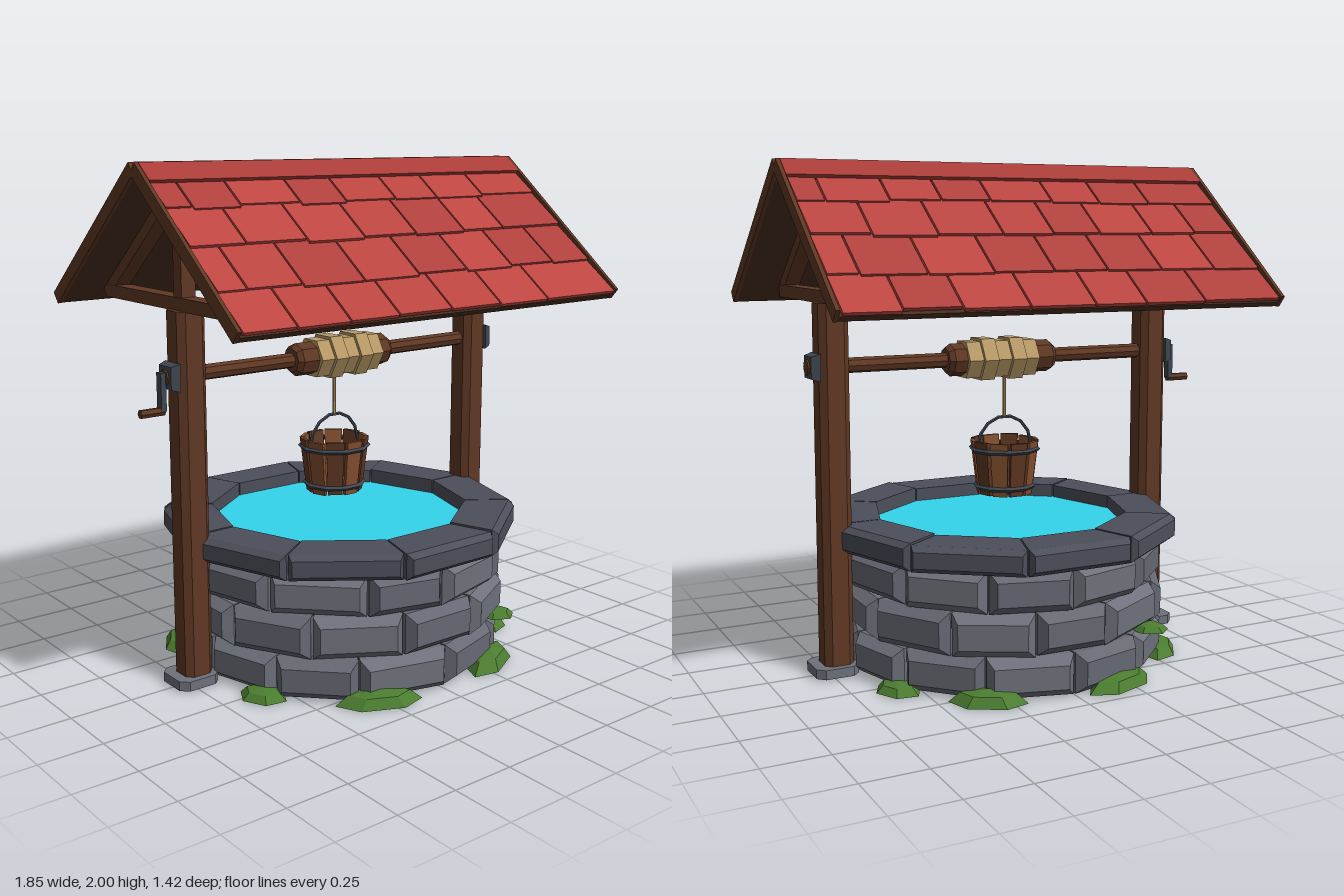
import * as THREE from 'three';

const mat = (color) => new THREE.MeshStandardMaterial({ color, flatShading: true });
const M = {
  stone: mat(0x6e717b), stoneB: mat(0x666973), rim: mat(0x4c4f5a), dark: mat(0x45484e),
  wood: mat(0x603824), woodB: mat(0x85502f), deck: mat(0x4a2f20), iron: mat(0x3f4650),
  rope: mat(0xb89a66), water: mat(0x33d4ec), moss: mat(0x4b7d30),
  tiles: [mat(0xb8443f), mat(0xae403c), mat(0xbc4641)], cap: mat(0xa83c38),
};

let seed = 7;
const rnd = (a, b) => {
  seed = (seed * 16807) % 2147483647;
  return a + (b - a) * (seed / 2147483647);
};

function add(parent, name, geo, material, x = 0, y = 0, z = 0) {
  const m = new THREE.Mesh(geo, material);
  m.name = name;
  m.position.set(x, y, z);
  parent.add(m);
  return m;
}

function group(parent, name) {
  const g = new THREE.Group();
  g.name = name;
  parent.add(g);
  return g;
}

// Wedge-shaped stone between two angles with a bevelled outer face
function stoneGeometry(a0, a1, r0, r1, y0, y1, b) {
  const pos = [], idx = [];
  for (const [r, inset] of [[r0, 0], [r1 - b, 0], [r1, b]]) {
    const d = inset / r;
    for (const [a, y] of [[a0 + d, y0 + inset], [a1 - d, y0 + inset], [a1 - d, y1 - inset], [a0 + d, y1 - inset]])
      pos.push(Math.cos(a) * r, y, Math.sin(a) * r);
  }
  for (let ring = 0; ring < 2; ring++)
    for (let j = 0; j < 4; j++) {
      const p = ring * 4 + j, p1 = ring * 4 + (j + 1) % 4;
      idx.push(p, p + 4, p1, p1, p + 4, p1 + 4);
    }
  idx.push(0, 1, 2, 0, 2, 3, 8, 11, 10, 8, 10, 9);
  const g = new THREE.BufferGeometry();
  g.setAttribute('position', new THREE.Float32BufferAttribute(pos, 3));
  g.setIndex(idx);
  g.computeVertexNormals();
  return g;
}

// Upright square bar with chamfered corners
function barGeometry(w, h, c) {
  const s = w / 2, k = s - c;
  const shape = new THREE.Shape([[s, -k], [s, k], [k, s], [-k, s], [-s, k], [-s, -k], [-k, -s], [k, -s]]
    .map(([x, y]) => new THREE.Vector2(x, y)));
  return new THREE.ExtrudeGeometry(shape, { depth: h, bevelEnabled: false }).rotateX(-Math.PI / 2);
}

const rodX = (r, len, sides) => new THREE.CylinderGeometry(r, r, len, sides).rotateZ(Math.PI / 2);

function buildWall(root) {
  const wall = group(root, 'stoneWall');
  const rows = [[0.005, 0.165], [0.168, 0.332], [0.338, 0.495]];
  rows.forEach(([y0, y1], row) => {
    const n = 12, step = Math.PI * 2 / n;
    const cuts = Array.from({ length: n }, (_, i) => (i + row * 0.5 + rnd(-0.1, 0.1)) * step);
    cuts.push(cuts[0] + Math.PI * 2);
    for (let i = 0; i < n; i++)
      add(wall, 'wallStone', stoneGeometry(cuts[i] + 0.005, cuts[i + 1] - 0.005, 0.56, rnd(0.66, 0.678),
        y0 + (row ? rnd(-0.006, 0.004) : 0), y1, 0.034), i % 2 ? M.stone : M.stoneB);
  });
  // Ten heavier coping stones
  for (let i = 0; i < 10; i++) {
    const a = i * Math.PI / 5;
    add(wall, 'rimStone', stoneGeometry(a + 0.005, a + Math.PI / 5 - 0.005, 0.525, rnd(0.715, 0.73),
      0.492, rnd(0.592, 0.6), 0.02), M.rim);
  }
  add(wall, 'innerCore', new THREE.CylinderGeometry(0.59, 0.59, 0.48, 24), M.dark, 0, 0.245, 0);
  add(root, 'water', new THREE.CylinderGeometry(0.55, 0.55, 0.05, 20), M.water, 0, 0.515, 0);
}

function buildMoss(root) {
  const moss = group(root, 'moss');
  // angle (0 = front, toward +x), half length, height, base y
  for (const [deg, len, h, y] of [[-25, 0.17, 0.055, 0], [28, 0.17, 0.06, 0], [66, 0.13, 0.05, 0], [-64, 0.1, 0.04, 0],
    [38, 0.07, 0.03, 0.16], [150, 0.15, 0.055, 0], [198, 0.17, 0.055, 0], [118, 0.1, 0.04, 0], [238, 0.14, 0.05, 0],
    [218, 0.07, 0.03, 0.16]]) {
    const a = deg * Math.PI / 180, r = 0.66;
    // Pointed leaf shape: flat underneath, crest against the wall
    const g = new THREE.SphereGeometry(1, 6, 4).scale(len, h, 0.08);
    const p = g.attributes.position;
    for (let i = 0; i < p.count; i++) p.setY(i, Math.max(0, p.getY(i)) + 0.003);
    const m = add(moss, 'mossPatch', g, M.moss, Math.sin(a) * r, y, Math.cos(a) * r);
    m.rotation.y = a;
  }
}

function buildFrame(root) {
  for (const s of [-1, 1]) {
    const side = group(root, s > 0 ? 'leftSupport' : 'rightSupport');
    add(side, 'post', barGeometry(0.12, 1.463, 0.025), M.wood, s * 0.72, 0, 0);
    add(side, 'postFoot', barGeometry(0.175, 0.038, 0.03), M.stone, s * 0.735, 0.006, 0);
    add(side, 'tieBeam', new THREE.BoxGeometry(0.07, 0.05, 1.06), M.wood, s * 0.72, 1.485, 0);
    add(side, 'kingPost', new THREE.BoxGeometry(0.06, 0.44, 0.055), M.wood, s * 0.72, 1.72, 0);
    const plate = new THREE.CylinderGeometry(0.06, 0.075, 0.035, 4).rotateY(Math.PI / 4).rotateZ(-s * Math.PI / 2);
    add(side, 'axlePlate', plate, M.iron, s * 0.795, 1.22, 0);
  }
}

function buildRoof(root) {
  const L = 0.82, pitch = Math.atan2(0.52, 0.635);
  // Tile rows measured down the slope: start, end, width of the first tile
  const rows = [[0.08, 0.235, 0.11], [0.215, 0.43, 0.23], [0.41, 0.64, 0.12], [0.62, 0.825, 0.22]];
  for (const s of [1, -1]) {
    const half = group(root, s > 0 ? 'frontRoof' : 'backRoof');
    half.rotation.y = s > 0 ? 0 : Math.PI;
    const slope = group(half, 'slope');
    slope.position.set(0, 1.993, 0.018);
    slope.rotation.x = pitch;
    add(slope, 'deck', new THREE.BoxGeometry(1.82, 0.022, L), M.deck, 0, -0.034, L / 2);
    for (const e of [-1, 1]) {
      add(slope, 'bargeBoard', new THREE.BoxGeometry(0.016, 0.052, L), M.wood, e * 0.917, -0.021, L / 2);
      add(slope, 'rafter', new THREE.BoxGeometry(0.065, 0.045, 0.71), M.wood, e * 0.72, -0.0675, 0.385);
    }
    add(slope, 'ridgeBoard', new THREE.BoxGeometry(1.816, 0.024, 0.095), M.cap, 0, -0.006, 0.047);
    rows.forEach(([z0, z1, first], row) => {
      let x = -0.905, next = x + first;
      while (x < 0.9) {
        if (next > 0.77) next = 0.905;
        const len = z1 - z0 + rnd(-0.012, 0.004);
        const t = add(slope, 'roofTile', new THREE.BoxGeometry(next - x - 0.008, 0.014, len),
          M.tiles[Math.floor(rnd(0, 3))], (x + next) / 2, -0.012 + (row % 2) * 0.001, z0 + len / 2);
        t.rotation.x = -0.05;
        x = next;
        next = x + rnd(0.2, 0.27);
      }
    });
  }
}

function buildWinch(root) {
  const winch = group(root, 'winch');
  winch.position.y = 1.22;
  add(winch, 'axle', rodX(0.03, 1.64, 8), M.wood);
  const profile = [[0, -0.24], [0.05, -0.24], [0.066, -0.22], [0.066, 0.22], [0.05, 0.24], [0, 0.24]]
    .map(([r, y]) => new THREE.Vector2(r, y));
  add(winch, 'drum', new THREE.LatheGeometry(profile, 8).rotateZ(Math.PI / 2), M.wood);
  for (let i = 0; i < 5; i++)
    add(winch, 'ropeCoil', rodX(i % 2 ? 0.096 : 0.084, 0.061, 6), M.rope, -0.115 + i * 0.063, 0, 0);
  add(winch, 'crankArm', new THREE.BoxGeometry(0.022, 0.145, 0.032), M.iron, -0.829, -0.052, 0);
  add(winch, 'crankHandle', rodX(0.017, 0.1, 6), M.wood, -0.872, -0.125, 0);
}

function buildBucket(root) {
  const bucket = group(root, 'bucket');
  bucket.position.x = -0.025;
  const n = 10;
  for (let i = 0; i < n; i++) {
    const g = new THREE.BoxGeometry(0.073, 0.222, 0.016);
    const p = g.attributes.position;
    // Narrow each stave and pull it inward toward the bottom
    for (let v = 0; v < p.count; v++) {
      const low = p.getY(v) < 0;
      p.setX(v, p.getX(v) * (low ? 0.8 : 1));
      p.setZ(v, p.getZ(v) + (low ? 0.103 : 0.129));
    }
    const stave = add(bucket, 'stave', g, i % 2 ? M.wood : M.woodB, 0, 0.77 + rnd(-0.003, 0.003), 0);
    stave.rotation.y = i * Math.PI * 2 / n;
  }
  add(bucket, 'bucketFloor', new THREE.CylinderGeometry(0.1, 0.1, 0.015, n), M.wood, 0, 0.68, 0);
  for (const [y, r] of [[0.845, 0.138], [0.69, 0.12]])
    add(bucket, 'hoop', new THREE.TorusGeometry(r, 0.011, 4, n).rotateX(Math.PI / 2), M.iron, 0, y, 0);
  add(bucket, 'handle', new THREE.TorusGeometry(0.122, 0.007, 5, 7, Math.PI), M.iron, 0, 0.855, 0);
  add(bucket, 'rope', new THREE.CylinderGeometry(0.007, 0.007, 0.22, 6), M.rope, 0, 1.08, 0);
}

export function createModel() {
  const root = new THREE.Group();
  root.name = 'wishingWell';
  buildWall(root);
  buildMoss(root);
  buildFrame(root);
  buildRoof(root);
  buildWinch(root);
  buildBucket(root);
  return root;
}
